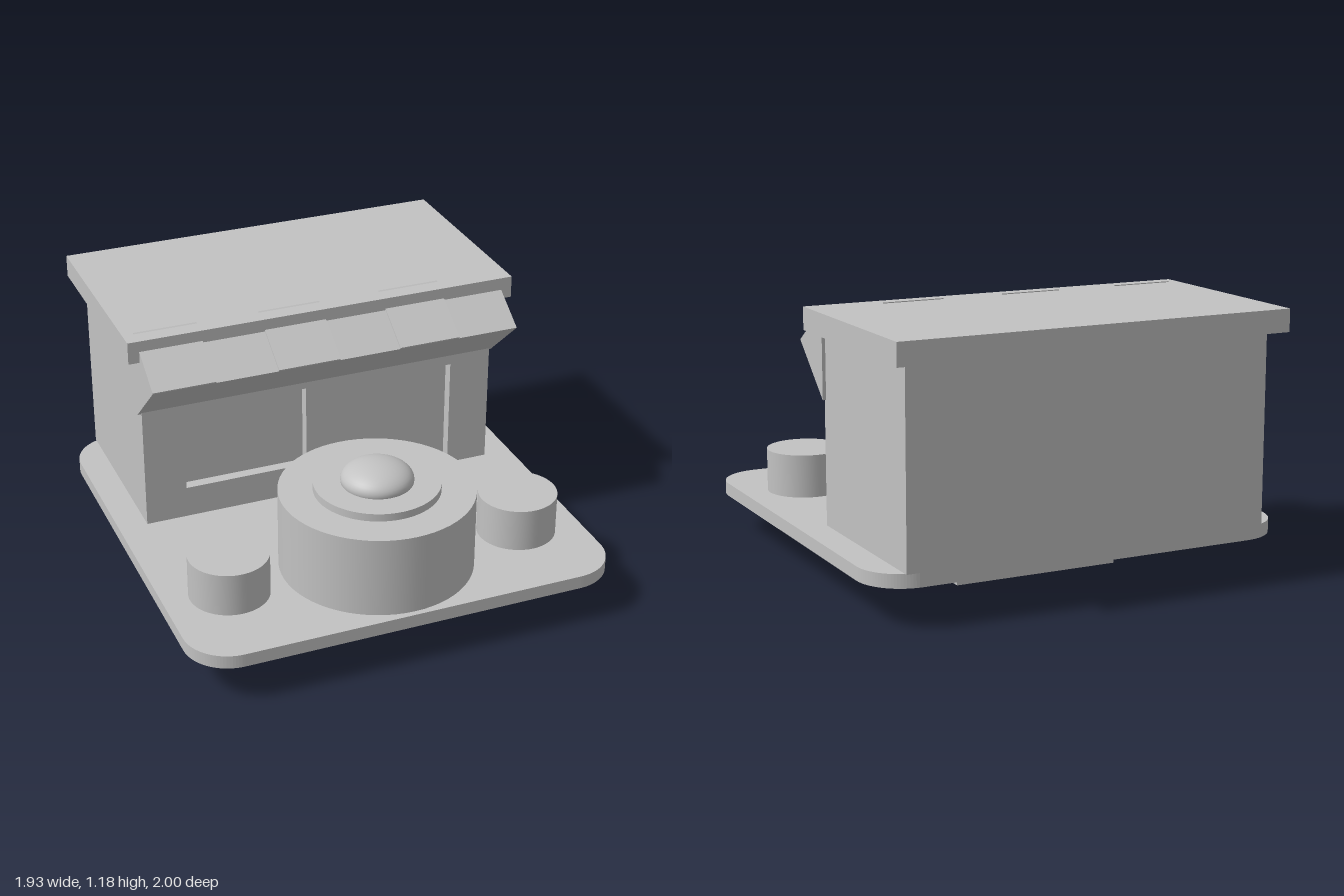
import * as THREE from 'three';

export function createModel() {
  const model = new THREE.Group();
  const grey = new THREE.MeshStandardMaterial({ color: 0xc2c2c2 });
  grey.name = 'plain grey';

  const add = (name, geometry, x = 0, y = 0, z = 0) => {
    const mesh = new THREE.Mesh(geometry, grey);
    mesh.name = name;
    mesh.position.set(x, y, z);
    model.add(mesh);
    return mesh;
  };
  // Box and drum given by their extents
  const box = (name, x0, x1, y0, y1, z0, z1) =>
    add(name, new THREE.BoxGeometry(x1 - x0, y1 - y0, z1 - z0), (x0 + x1) / 2, (y0 + y1) / 2, (z0 + z1) / 2);
  const drum = (name, r, y0, y1, x, z) =>
    add(name, new THREE.CylinderGeometry(r, r, y1 - y0, 64), x, (y0 + y1) / 2, z);
  // Prism along x from a [z, y] cross-section
  const prism = (name, points, x0, x1) => {
    const shape = new THREE.Shape(points.map(([z, y]) => new THREE.Vector2(-z, y)));
    const geometry = new THREE.ExtrudeGeometry(shape, { depth: x1 - x0, bevelEnabled: false });
    geometry.rotateY(Math.PI / 2);
    return add(name, geometry, x0);
  };

  // Foot block and rounded slab
  box('foot', -0.385, 0.385, 0, 0.175, -0.45, 0.325);
  const w = 0.965, z0 = -0.93, z1 = 1, r = 0.2;
  const plan = new THREE.Shape();
  plan.absarc(w - r, -z0 - r, r, 0, Math.PI / 2);
  plan.absarc(-w + r, -z0 - r, r, Math.PI / 2, Math.PI);
  plan.absarc(-w + r, -z1 + r, r, Math.PI, Math.PI * 1.5);
  plan.absarc(w - r, -z1 + r, r, Math.PI * 1.5, Math.PI * 2);
  const slab = new THREE.ExtrudeGeometry(plan, { depth: 0.06, bevelEnabled: false, curveSegments: 12 });
  slab.rotateX(-Math.PI / 2);
  add('slab', slab, 0, 0.175, 0);

  // Shop body, with a front wall cut by a doorway and a window
  box('shopBody', -0.835, 0.835, 0.235, 1.08, -0.93, -0.15);
  const wall = new THREE.Shape([
    [-0.835, 0.235], [0.255, 0.235], [0.255, 0.755], [0.64, 0.755],
    [0.64, 0.235], [0.835, 0.235], [0.835, 1.08], [-0.835, 1.08],
  ].map(([x, y]) => new THREE.Vector2(x, y)));
  wall.holes.push(new THREE.Path([
    [-0.645, 0.38], [-0.645, 0.77], [-0.07, 0.77], [-0.07, 0.38],
  ].map(([x, y]) => new THREE.Vector2(x, y))));
  add('frontWall', new THREE.ExtrudeGeometry(wall, { depth: 0.05, bevelEnabled: false }), 0, 0, -0.15);
  box('roof', -0.9, 0.9, 1.08, 1.18, -1, -0.035);

  // Awning of six strips, every other one slightly raised
  const strip = 1.7 / 6;
  for (let i = 0; i < 6; i++) {
    const lift = i % 2 === 0 ? 0.007 : 0;
    prism('awningStrip', [
      [-0.115, 0.787], [0.133, 1.01], [0.133 + lift / 2, 1.01 + lift], [-0.115, 1.177 + lift],
    ], -0.85 + i * strip, -0.85 + (i + 1) * strip);
  }

  // Round centrepiece with a low dome
  drum('basin', 0.425, 0.235, 0.6, 0, 0.55);
  drum('basinStep', 0.275, 0.6, 0.635, 0, 0.55);
  add('dome', new THREE.SphereGeometry(0.158, 48, 24), 0, 0.646, 0.55).scale.y = 0.5;

  // Side drums
  for (const side of [-1, 1]) drum('sideDrum', 0.175, 0.235, 0.43, side * 0.675, 0.55);

  return model;
}
